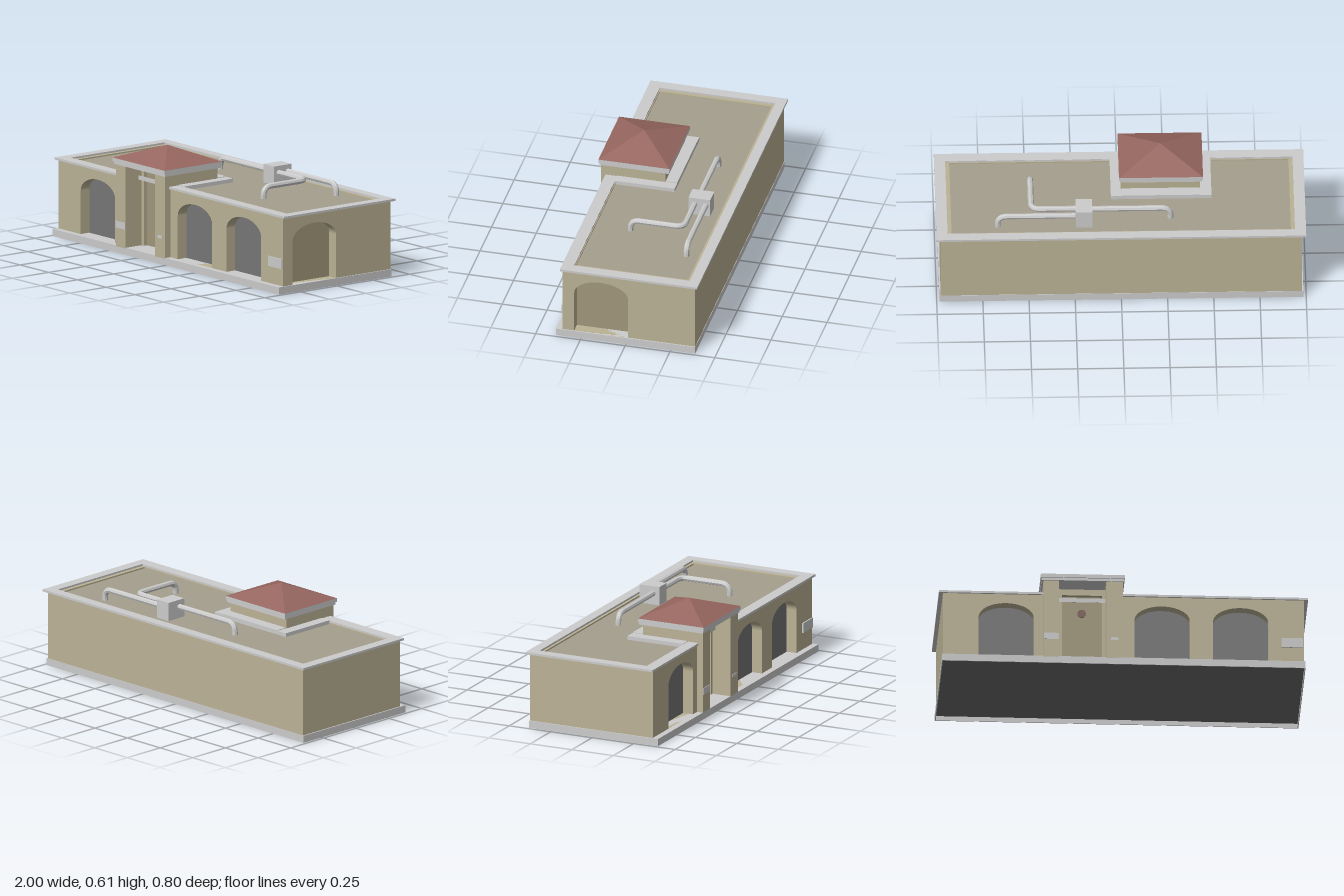
import * as THREE from 'three';

const mat = (color, extra = {}) => new THREE.MeshStandardMaterial({ color, ...extra });

export function createModel() {
  const root = new THREE.Group();
  const stone = mat(0xcccccc);
  const wall = mat(0xbbb295);
  const door = mat(0xa0977b);
  const roofing = mat(0xa59f8d);
  const tile = mat(0x96665f, { flatShading: true });
  const pane = mat(0x767676);
  const dark = mat(0x6a6a6a);
  const duct = mat(0xcccccc, { flatShading: true, side: THREE.DoubleSide });

  const add = (name, geometry, material) => {
    const mesh = new THREE.Mesh(geometry, material);
    mesh.name = name;
    root.add(mesh);
    return mesh;
  };
  // box given by its limits on each axis
  const box = (name, material, x0, x1, y0, y1, z0, z1) =>
    add(name, new THREE.BoxGeometry(x1 - x0, y1 - y0, z1 - z0)
      .translate((x0 + x1) / 2, (y0 + y1) / 2, (z0 + z1) / 2), material);
  const rect = (x0, x1, y0, y1, Type = THREE.Shape) => new Type([
    [x0, y0], [x1, y0], [x1, y1], [x0, y1]].map(p => new THREE.Vector2(...p)));
  // opening with a flattened elliptical head
  const archHole = (x0, x1) => {
    const p = new THREE.Path();
    p.moveTo(x0, 0.04);
    p.lineTo(x1, 0.04);
    p.lineTo(x1, 0.28);
    p.absellipse((x0 + x1) / 2, 0.28, (x1 - x0) / 2, 0.085, 0, Math.PI, false, 0);
    p.closePath();
    return p;
  };
  const slabWithHoles = (x0, x1, y0, y1, depth, holes) => {
    const s = rect(x0, x1, y0, y1);
    s.holes.push(...holes);
    return new THREE.ExtrudeGeometry(s, { depth, bevelEnabled: false, curveSegments: 24 });
  };
  // horizontal frame lying on height y
  const frame = (name, outer, inner, y, h) => {
    const s = rect(...outer);
    s.holes.push(rect(...inner, THREE.Path));
    const g = new THREE.ExtrudeGeometry(s, { depth: h, bevelEnabled: false });
    add(name, g.rotateX(-Math.PI / 2).translate(0, y, 0), stone);
  };

  // plinth, hollow underneath
  frame('plinthRim', [-0.985, 0.985, -0.39, 0.387], [-0.98, 0.98, -0.385, 0.382], 0, 0.04);
  box('plinthFloor', stone, -0.981, 0.981, 0.03, 0.04, -0.383, 0.386);
  box('plinthUnderside', dark, -0.981, 0.981, 0.026, 0.03, -0.383, 0.386);

  // front walls with arched recesses
  const arches = [[-0.785, -0.485], [0.06, 0.36], [0.485, 0.785]];
  const frontWall = (x0, x1, list) => add('frontWall',
    slabWithHoles(x0, x1, 0.035, 0.42, 0.06, list.map(a => archHole(...a)))
      .translate(0, 0, 0.295), wall);
  frontWall(-0.978, -0.4, arches.slice(0, 1));
  frontWall(-0.05, 0.978, arches.slice(1));
  for (const [a, b] of arches) box('archPanel', pane, a - 0.01, b + 0.01, 0.035, 0.38, 0.285, 0.296);

  // left end with one arched recess, plain right end and back
  add('leftWall', slabWithHoles(-0.295, 0.385, 0.035, 0.42, 0.06, [archHole(-0.29, 0.01)])
    .rotateY(Math.PI / 2).translate(0.918, 0, 0), wall);
  box('sideArchPanel', door, 0.908, 0.919, 0.035, 0.38, -0.02, 0.295);
  box('rightWall', wall, -0.978, -0.918, 0.035, 0.42, -0.385, 0.296);
  box('backWall', wall, -0.97, 0.97, 0.035, 0.42, -0.385, -0.33);

  // flat roof in three pieces around the tower, with its raised border
  box('roofBack', roofing, -0.96, 0.96, 0.395, 0.412, -0.37, 0.06);
  box('roofRight', roofing, -0.96, -0.42, 0.395, 0.412, 0.06, 0.33);
  box('roofLeft', roofing, -0.02, 0.96, 0.395, 0.412, 0.06, 0.33);
  const y0 = 0.418, y1 = 0.43;
  box('borderBack', stone, -1, 1, y0, y1, -0.402, -0.345);
  for (const s of [-1, 1]) {
    const [a, b] = s < 0 ? [-1, -0.94] : [0.94, 1];
    box('borderEnd', stone, a, b, y0, y1, -0.345, 0.365);
  }
  box('borderFrontRight', stone, -0.94, -0.43, y0, y1, 0.3, 0.365);
  box('borderFrontLeft', stone, -0.01, 0.94, y0, y1, 0.3, 0.365);
  frame('parapetInner', [-0.96, 0.96, -0.3, 0.36], [-0.94, 0.94, -0.299, 0.345], 0.405, 0.024);

  // border around the tower foot
  box('towerBorderRight', stone, -0.495, -0.43, 0.405, 0.433, -0.035, 0.3);
  box('towerBorderLeft', stone, -0.01, 0.05, 0.405, 0.433, -0.035, 0.3);
  box('towerBorderBack', stone, -0.43, -0.01, 0.405, 0.436, -0.035, 0.035);

  // entrance tower
  box('towerPierRight', wall, -0.435, -0.35, 0.035, 0.495, 0.03, 0.39);
  box('towerPierLeft', wall, -0.095, -0.005, 0.035, 0.495, 0.03, 0.39);
  box('towerBack', wall, -0.36, -0.085, 0.035, 0.495, 0.03, 0.1);
  add('doorFrame', slabWithHoles(-0.355, -0.09, 0.035, 0.495, 0.025,
    [rect(-0.33, -0.113, 0.04, 0.455, THREE.Path)]).translate(0, 0, 0.255), wall);
  box('door', door, -0.34, -0.1, 0.035, 0.47, 0.245, 0.257);
  add('doorDisc', new THREE.CylinderGeometry(0.023, 0.023, 0.008, 20)
    .rotateX(Math.PI / 2).translate(-0.222, 0.355, 0.259), mat(0x80605a));
  box('towerCorniceLower', stone, -0.445, 0, 0.49, 0.507, 0.01, 0.396);
  box('towerCorniceUpper', stone, -0.45, 0.005, 0.505, 0.525, 0.005, 0.402);
  const hip = new THREE.ConeGeometry(Math.SQRT1_2, 1, 4).rotateY(Math.PI / 4);
  add('towerRoof', hip.scale(0.455, 0.082, 0.397).translate(-0.2225, 0.566, 0.2035), tile);

  // blank plates on the front
  box('plateRight', stone, -0.433, -0.352, 0.14, 0.177, 0.385, 0.393);
  box('plateLeft', stone, -0.07, -0.028, 0.142, 0.158, 0.385, 0.393);
  box('wallPlate', stone, 0.855, 0.973, 0.135, 0.19, 0.35, 0.362);

  // rooftop vent box and its ducts
  box('ventBox', stone, 0.155, 0.245, 0.41, 0.515, -0.283, -0.162);
  const ductRun = (points, bend) => {
    const v = points.map(p => new THREE.Vector3(...p));
    const path = new THREE.CurvePath();
    let from = v[0];
    for (let i = 1; i < v.length - 1; i++) {
      const a = v[i].clone().add(v[i - 1].clone().sub(v[i]).setLength(bend));
      const b = v[i].clone().add(v[i + 1].clone().sub(v[i]).setLength(bend));
      path.add(new THREE.LineCurve3(from, a));
      path.add(new THREE.QuadraticBezierCurve3(a, v[i], b));
      from = b;
    }
    path.add(new THREE.LineCurve3(from, v[v.length - 1]));
    add('roofDuct', new THREE.TubeGeometry(path, 48, 0.016, 8), duct);
  };
  const h = 0.476;
  ductRun([[0.24, h, -0.258], [0.667, h, -0.258], [0.667, 0.405, -0.258]], 0.05);
  ductRun([[0.16, h, -0.2], [-0.27, h, -0.2], [-0.27, 0.405, -0.2]], 0.05);
  ductRun([[0.24, h, -0.196], [0.485, h, -0.196], [0.485, h, 0.1], [0.485, 0.405, 0.1]], 0.05);

  return root;
}
